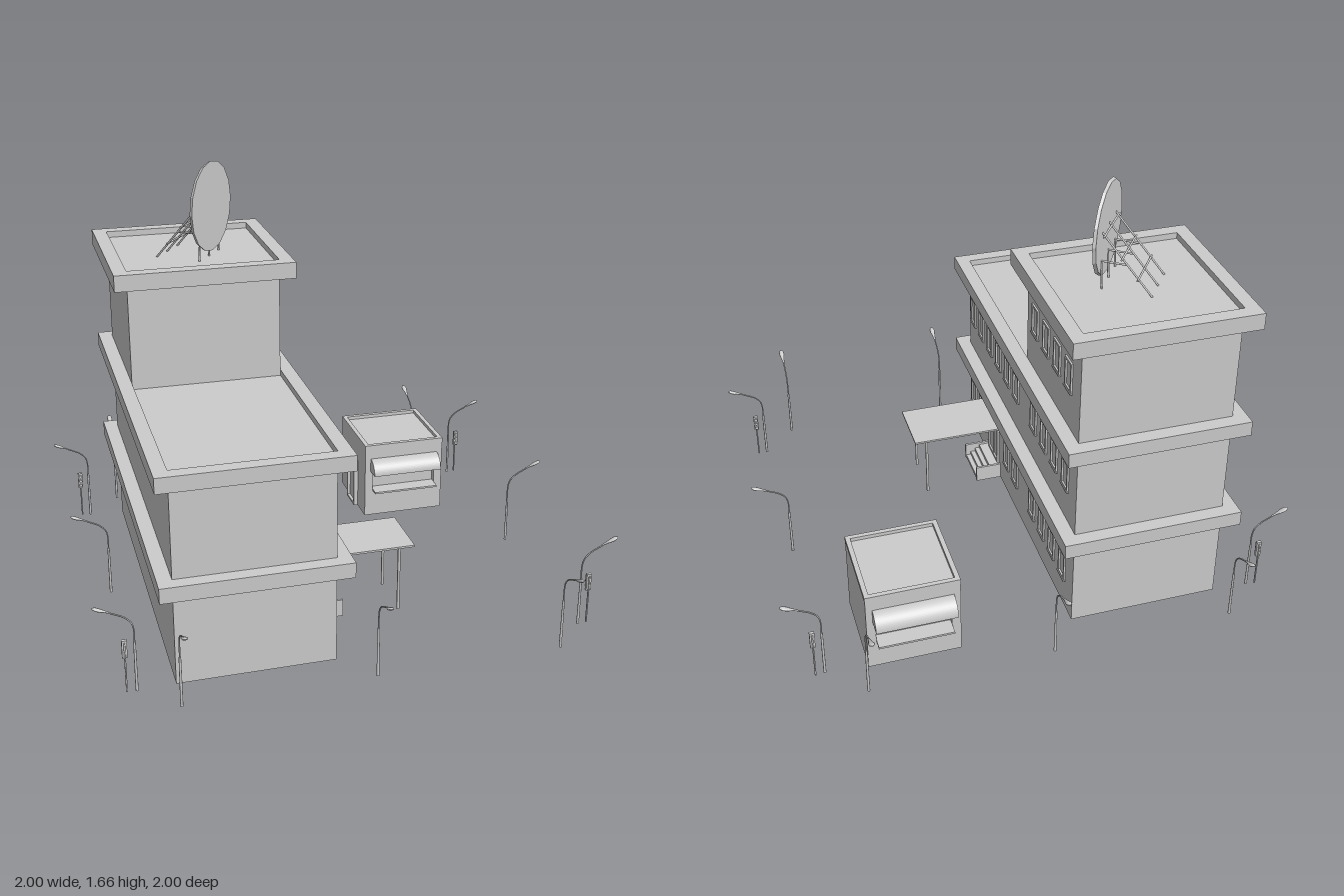
import * as THREE from 'three';

const grey = new THREE.MeshStandardMaterial({ color: 0xcccccc, flatShading: true });
const smooth = new THREE.MeshStandardMaterial({ color: 0xcccccc });

function add(parent, name, geo, x = 0, y = 0, z = 0, mat = grey) {
  const m = new THREE.Mesh(geo, mat);
  m.name = name;
  m.position.set(x, y, z);
  parent.add(m);
  return m;
}

function group(parent, name, x = 0, y = 0, z = 0, turn = 0) {
  const g = new THREE.Group();
  g.name = name;
  g.position.set(x, y, z);
  g.rotation.y = turn;
  parent.add(g);
  return g;
}

// Box given by its limits on each axis
function block(parent, name, x0, x1, y0, y1, z0, z1) {
  return add(parent, name, new THREE.BoxGeometry(x1 - x0, y1 - y0, z1 - z0),
    (x0 + x1) / 2, (y0 + y1) / 2, (z0 + z1) / 2);
}

// Rectangular frame w x h in the XY plane, extruded along +z
function frame(w, h, iw, ih, depth) {
  const rect = (P, a, b) => new P([[-a, -b], [a, -b], [a, b], [-a, b]].map(p => new THREE.Vector2(p[0] / 2, p[1] / 2)));
  const s = rect(THREE.Shape, w, h);
  s.holes.push(rect(THREE.Path, iw, ih));
  return new THREE.ExtrudeGeometry(s, { depth, bevelEnabled: false });
}

// Round bar between two points
function bar(parent, name, a, b, r) {
  const p = new THREE.Vector3(...a), q = new THREE.Vector3(...b);
  const m = add(parent, name, new THREE.CylinderGeometry(r, r, p.distanceTo(q), 6), 0, 0, 0, smooth);
  m.position.copy(p).add(q).multiplyScalar(0.5);
  m.quaternion.setFromUnitVectors(new THREE.Vector3(0, 1, 0), q.sub(p).normalize());
}

// Projecting parapet ring around a flat roof
function cornice(parent, y, h, z0, z1) {
  const d = z1 - z0;
  const geo = frame(0.71, d, 0.6, d - 0.11, h).rotateX(-Math.PI / 2);
  add(parent, 'cornice', geo, -0.415, y, (z0 + z1) / 2);
}

function buildWindow(parent, y, z) {
  const g = group(parent, 'window', -0.115, y + 0.065, z, Math.PI / 2);
  add(g, 'windowFrame', frame(0.07, 0.125, 0.052, 0.107, 0.007));
  add(g, 'windowSill', new THREE.BoxGeometry(0.078, 0.006, 0.02), 0, -0.0625, 0);
}

function buildBuilding(root) {
  const b = group(root, 'building');
  block(b, 'groundFloor', -0.715, -0.115, 0, 0.4, -0.715, 0.715);
  block(b, 'upperFloor', -0.715, -0.115, 0.4, 0.82, -0.715, 0.715);
  block(b, 'tower', -0.715, -0.115, 0.82, 1.28, -0.715, -0.115);
  cornice(b, 0.365, 0.06, -0.77, 0.77);
  cornice(b, 0.785, 0.06, -0.77, 0.77);
  cornice(b, 1.24, 0.065, -0.77, -0.06);

  // Window rows on the entrance side
  const front = [0.645, 0.517, 0.39, 0.263, 0.137, 0.015];
  const back = [-0.215, -0.343, -0.468, -0.595];
  front.concat(back).forEach((z, i) => {
    if (i !== 2 && i !== 3) buildWindow(b, 0.125, z);
    buildWindow(b, 0.56, z);
  });
  buildWindow(b, 0.125, 0.137);
  back.forEach(z => buildWindow(b, 1.0, z));
}

function buildEntrance(root) {
  const e = group(root, 'entrance');
  block(e, 'canopy', -0.115, 0.275, 0.277, 0.285, 0.205, 0.452);
  for (const z of [0.23, 0.43]) bar(e, 'canopyPost', [0.22, 0, z], [0.22, 0.28, z], 0.006);

  // Steps between two low side walls
  for (const z of [0.235, 0.415]) block(e, 'stairWall', -0.115, -0.005, 0, 0.07, z, z + 0.01);
  for (let i = 0; i < 4; i++)
    block(e, 'step', -0.115, -0.008 - i * 0.02, i * 0.015, (i + 1) * 0.015, 0.245, 0.415);

  // Double door
  const d = group(e, 'door', -0.115, 0.15, 0.33, Math.PI / 2);
  add(d, 'doorFrame', frame(0.14, 0.18, 0.12, 0.16, 0.008));
  add(d, 'doorMullion', new THREE.BoxGeometry(0.008, 0.17, 0.012));
}

function buildDish(root) {
  // Local +z is the direction the dish faces
  const g = group(root, 'satelliteDish', -0.343, 1.485, -0.322, 0.936);
  add(g, 'dish', new THREE.CylinderGeometry(0.18, 0.175, 0.012, 16).rotateX(Math.PI / 2));
  const roof = -0.205, r = 0.004;
  const rail = t => [roof + 0.225 * t, -0.2 + 0.195 * t];
  for (const x of [-0.09, 0, 0.09]) {
    bar(g, 'slopingStrut', [x, roof, -0.2], [x, 0.02, -0.005], r);
    bar(g, 'frontLeg', [x, roof, -0.012], [x, -0.1, -0.006], r);
    const [y, z] = rail(0.5);
    bar(g, 'brace', [x, y, z], [x, y, 0], r);
  }
  for (const t of [0.28, 0.6, 0.95]) {
    const [y, z] = rail(t);
    bar(g, 'crossBar', [-0.105, y, z], [0.105, y, z], r);
  }
}

function buildKiosk(root) {
  const k = group(root, 'kiosk', 0.515, 0, -0.56);
  // Walls with a serving opening through front and back
  const wall = new THREE.Shape([[-0.18, 0], [0.18, 0], [0.18, 0.325], [-0.18, 0.325]].map(p => new THREE.Vector2(...p)));
  wall.holes.push(new THREE.Path([[-0.145, 0.127], [0.145, 0.127], [0.145, 0.25], [-0.145, 0.25]].map(p => new THREE.Vector2(...p))));
  add(k, 'kioskWalls', new THREE.ExtrudeGeometry(wall, { depth: 0.36, bevelEnabled: false }), 0, 0, -0.18);
  block(k, 'kioskInterior', -0.15, 0.15, 0.12, 0.26, -0.155, 0.155);
  add(k, 'kioskParapet', frame(0.362, 0.362, 0.325, 0.325, 0.02).rotateX(-Math.PI / 2), 0, 0.32, 0);

  // Quarter-round awning and counter on both serving sides
  for (const turn of [0, Math.PI]) {
    const side = group(k, 'servingSide', 0, 0, 0, turn);
    const arc = new THREE.Shape();
    arc.moveTo(0, 0);
    arc.lineTo(0.062, 0);
    arc.absellipse(0, 0, 0.062, 0.06, 0, Math.PI / 2, false, 0);
    arc.lineTo(0, 0);
    const geo = new THREE.ExtrudeGeometry(arc, { depth: 0.31, bevelEnabled: false, curveSegments: 8 });
    add(side, 'awning', geo.rotateY(-Math.PI / 2), 0.155, 0.215, 0.18);
    block(side, 'counter', -0.145, 0.145, 0.12, 0.128, 0.15, 0.223);
  }

  // Door on the side facing the building
  const d = group(k, 'kioskDoor', -0.18, 0.11, 0.015, -Math.PI / 2);
  add(d, 'kioskDoorFrame', frame(0.112, 0.22, 0.092, 0.2, 0.018));
  add(d, 'kioskDoorLeaf', new THREE.BoxGeometry(0.094, 0.202, 0.01));
}

// Street lamp; the arm reaches out along local +x
function buildLamp(root, x, z, turn) {
  const g = group(root, 'streetLamp', x, 0, z, turn);
  add(g, 'lampBase', new THREE.CylinderGeometry(0.0045, 0.0055, 0.2, 8), 0, 0.1, 0, smooth);
  const path = new THREE.CatmullRomCurve3([[0, 0.19], [0, 0.25], [0.007, 0.278], [0.03, 0.303], [0.08, 0.329]]
    .map(p => new THREE.Vector3(p[0], p[1], 0)));
  add(g, 'lampArm', new THREE.TubeGeometry(path, 16, 0.003, 6), 0, 0, 0, smooth);
  // Teardrop head, widest towards its tip
  const profile = [[0, -0.036], [0.004, -0.034], [0.006, -0.015], [0.011, 0.01], [0.011, 0.024], [0.006, 0.034], [0, 0.036]];
  const geo = new THREE.LatheGeometry(profile.map(p => new THREE.Vector2(...p)), 10);
  geo.rotateZ(-Math.PI / 2).scale(1, 0.5, 1);
  add(g, 'lampHead', geo, 0.108, 0.342, 0, smooth).rotation.z = 0.4;
}

function buildTrafficLight(root, x, z) {
  const g = group(root, 'trafficLight', x, 0, z, z > 0 ? Math.PI : 0);
  bar(g, 'signalPole', [0, 0, 0], [0, 0.2, 0], 0.0035);
  add(g, 'signalBox', new THREE.BoxGeometry(0.019, 0.07, 0.012), 0, 0.173, 0.006);
  for (let i = 0; i < 3; i++) {
    const hood = new THREE.CylinderGeometry(0.007, 0.007, 0.01, 10).rotateX(Math.PI / 2);
    add(g, 'signalLens', hood, 0, 0.152 + i * 0.021, 0.015, smooth);
  }
}

export function createModel() {
  const root = new THREE.Group();
  root.name = 'station';
  buildBuilding(root);
  buildEntrance(root);
  buildDish(root);
  buildKiosk(root);

  // Three lamps along each side of the plot, arms pointing outwards
  for (const t of [-0.72, 0, 0.72]) {
    buildLamp(root, 0.857, t, 0);
    buildLamp(root, -0.857, t, Math.PI);
    buildLamp(root, t, 0.857, -Math.PI / 2);
    buildLamp(root, t, -0.857, Math.PI / 2);
  }
  for (const x of [-0.893, 0.893]) for (const z of [-0.725, 0.718]) buildTrafficLight(root, x, z);
  return root;
}
